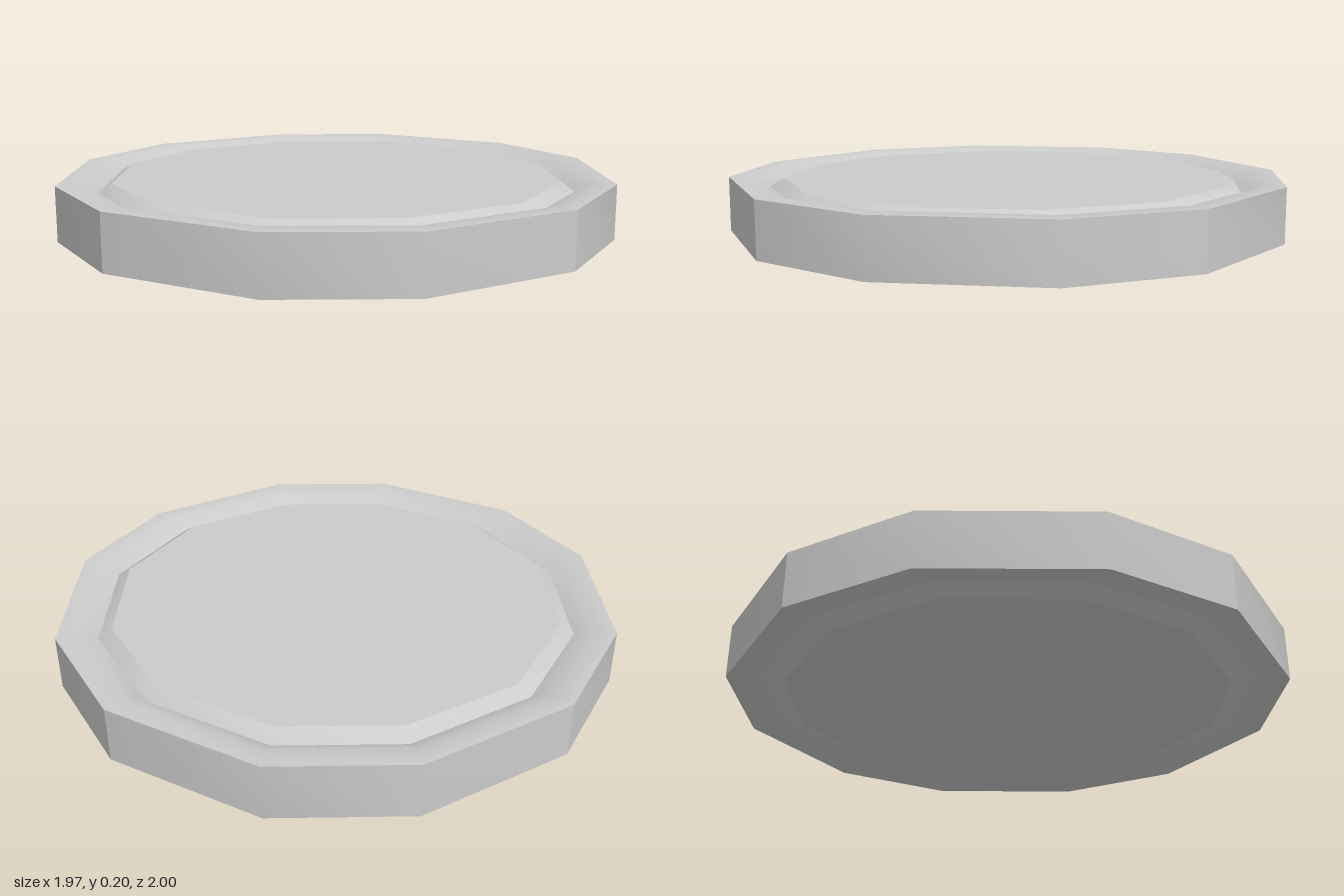
import * as THREE from 'three';
import { toCreasedNormals } from 'three/addons/utils/BufferGeometryUtils.js';

const HEIGHT = 0.2;
const PLATE_Y = 0.195, GROOVE_Y = 0.163;

// Corners of one quadrant (x, z) for each twelve-sided outline
const PLATE = [[0.8, 0.22], [0.59, 0.585], [0.205, 0.8]];
const GROOVE = [[0.848, 0.235], [0.628, 0.615], [0.213, 0.855]];
const LIP = [[0.913, 0.275], [0.69, 0.657], [0.235, 0.92]];
const OUTER = [[0.985, 0.29], [0.745, 0.71], [0.24, 1]];

// Mirror a quadrant into a full loop, ordered by angle
function loop(quadrant) {
  const points = [];
  for (const sx of [1, -1]) for (const sz of [1, -1])
    for (const [x, z] of quadrant) points.push([x * sx, z * sz]);
  return points.sort((a, b) => Math.atan2(a[1], a[0]) - Math.atan2(b[1], b[0]));
}

// Skin a list of { outline, y } rings
function skin(rings) {
  const positions = [], index = [];
  const n = 12;
  for (const { outline, y } of rings)
    for (const [x, z] of loop(outline)) positions.push(x, y, z);
  for (let r = 0; r < rings.length - 1; r++) {
    for (let i = 0; i < n; i++) {
      const j = (i + 1) % n;
      const a = r * n + i, b = r * n + j, c = a + n, d = b + n;
      index.push(a, b, c, b, d, c);
    }
  }
  const geometry = new THREE.BufferGeometry();
  geometry.setAttribute('position', new THREE.Float32BufferAttribute(positions, 3));
  geometry.setIndex(index);
  return toCreasedNormals(geometry, Math.PI / 6);
}

export function createModel() {
  const group = new THREE.Group();
  group.name = 'disc';
  const material = new THREE.MeshStandardMaterial({ color: 0xcccccc });
  const add = (name, geometry) => {
    const mesh = new THREE.Mesh(geometry, material);
    mesh.name = name;
    group.add(mesh);
    return mesh;
  };

  // Rim: upper groove, outer wall and matching lower groove
  const upper = [
    { outline: PLATE, y: PLATE_Y },
    { outline: GROOVE, y: GROOVE_Y },
    { outline: LIP, y: HEIGHT },
    { outline: OUTER, y: HEIGHT },
  ];
  const lower = upper.map(({ outline, y }) => ({ outline, y: HEIGHT - y })).reverse();
  add('rim', skin([...upper, ...lower]));

  // Flat plates closing the middle above and below
  const shape = new THREE.Shape(loop(PLATE).map(([x, z]) => new THREE.Vector2(x, z)));
  add('topPlate', new THREE.ShapeGeometry(shape).rotateX(-Math.PI / 2)).position.y = PLATE_Y;
  add('bottomPlate', new THREE.ShapeGeometry(shape).rotateX(Math.PI / 2)).position.y = HEIGHT - PLATE_Y;

  return group;
}
